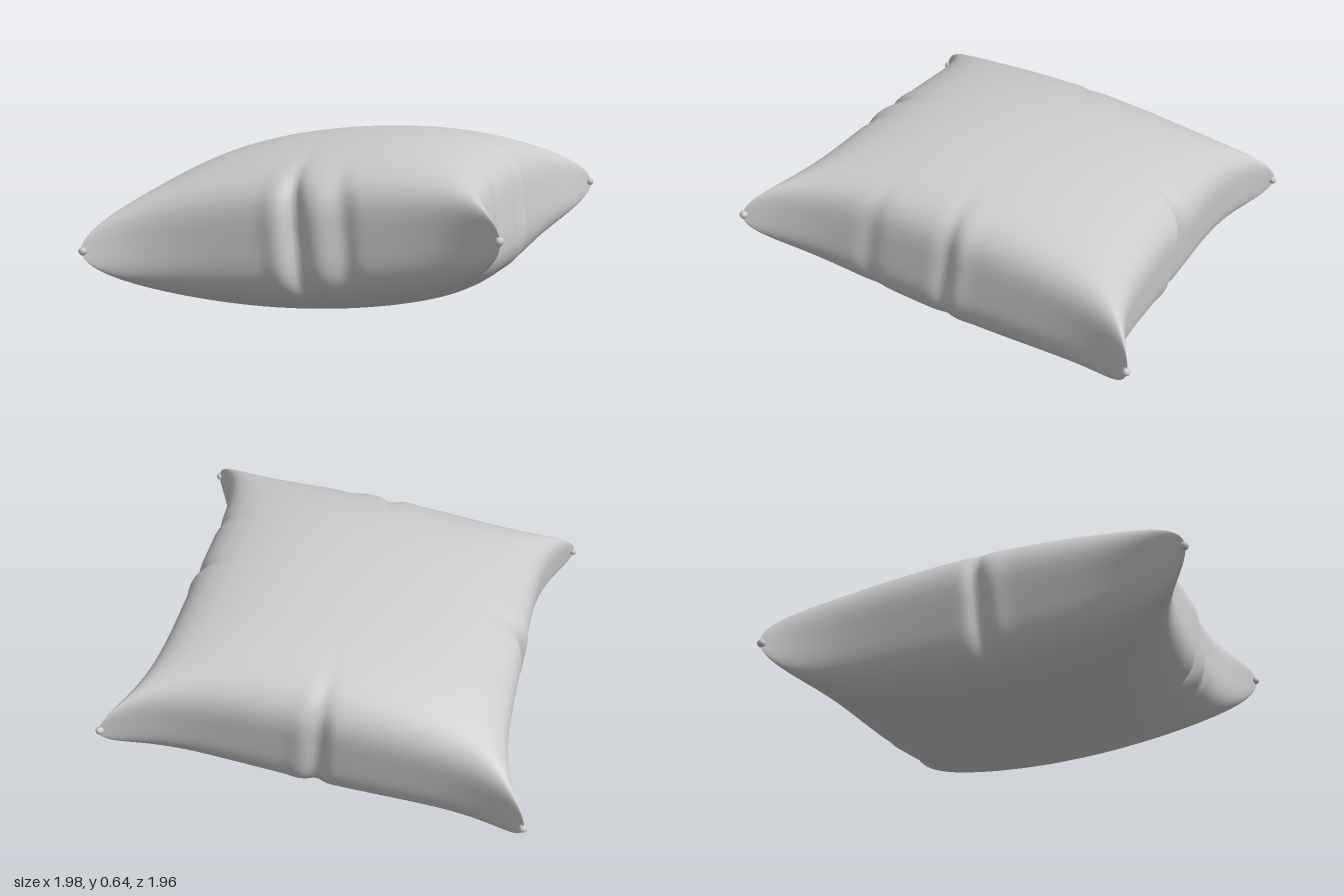
import * as THREE from 'three';
import { mergeGeometries, mergeVertices } from 'three/addons/utils/BufferGeometryUtils.js';

const N = 150;          // grid steps per side
const HALF = 0.7;       // half side, corner to corner
const THICK = 0.3;      // half thickness at the centre

// Side creases per edge: [position along the edge, depth, width]
const CREASES = {
  px: [[0.0, 0.022, 0.04], [0.09, -0.006, 0.05]],
  nx: [[0.0, 0.035, 0.04], [0.12, -0.012, 0.06], [-0.1, -0.008, 0.05], [0.24, 0.012, 0.05]],
  pz: [[0.0, 0.016, 0.04], [0.08, -0.007, 0.05], [-0.4, 0.01, 0.05]],
  nz: [[0.0, 0.022, 0.04], [-0.09, -0.006, 0.05]],
};

const ease = (a) => Math.sin(a * Math.PI / 2);

// How far an edge is drawn in at t, leaving pinched points at the corners
const drawIn = (t) => 0.11 * (1 - Math.abs(t) ** 5);

function crease(list, t) {
  return list.reduce((sum, [at, depth, width]) => sum + depth * Math.exp(-(((t - at) / width) ** 2)), 0);
}

// Offset across one axis: u runs across, t along the edge
function across(u, t, plus, minus) {
  const fold = crease(u > 0 ? plus : minus, t) * Math.abs(u) ** 5;
  return u * (HALF - drawIn(t) - fold);
}

// One face of the cushion, domed upwards (side = 1) or downwards (side = -1)
function panel(side) {
  const geo = new THREE.PlaneGeometry(2, 2, N, N).rotateX(-side * Math.PI / 2);
  const pos = geo.attributes.position;
  for (let i = 0; i < pos.count; i++) {
    const u = ease(pos.getX(i)), v = ease(pos.getZ(i));
    const dome = Math.max(0, (1 - u * u) * (1 - v * v));
    const y = dome < 1e-9 ? 0 : side * THICK * dome ** 0.26;
    pos.setXYZ(i, across(u, v, CREASES.px, CREASES.nx), y, across(v, u, CREASES.pz, CREASES.nz));
  }
  geo.deleteAttribute('normal');
  geo.deleteAttribute('uv');
  return geo;
}

export function createModel() {
  const group = new THREE.Group();
  group.name = 'cushion';
  const material = new THREE.MeshStandardMaterial({ color: 0xcccccc });

  // Both faces joined along the seam, then turned and tilted
  const geo = mergeVertices(mergeGeometries([panel(1), panel(-1)]), 1e-5);
  geo.rotateY(THREE.MathUtils.degToRad(38));
  geo.rotateX(THREE.MathUtils.degToRad(-8.2));
  geo.computeVertexNormals();
  geo.computeBoundingBox();
  const lift = -geo.boundingBox.min.y;
  const cover = new THREE.Mesh(geo, material);
  cover.name = 'cushionCover';
  cover.position.y = lift;
  group.add(cover);

  // Small gathered nub at each corner
  const nub = new THREE.SphereGeometry(0.014, 12, 8);
  for (let k = 0; k < 4; k++) {
    const tip = new THREE.Mesh(nub, material);
    const angle = Math.PI / 4 + k * Math.PI / 2;
    tip.position.set(Math.cos(angle), 0, Math.sin(angle)).multiplyScalar(HALF * Math.SQRT2 - 0.005);
    tip.position.applyAxisAngle(new THREE.Vector3(0, 1, 0), THREE.MathUtils.degToRad(38));
    tip.position.applyAxisAngle(new THREE.Vector3(1, 0, 0), THREE.MathUtils.degToRad(-8.2));
    tip.position.y += lift;
    tip.name = 'cornerTip' + (k + 1);
    group.add(tip);
  }
  return group;
}
